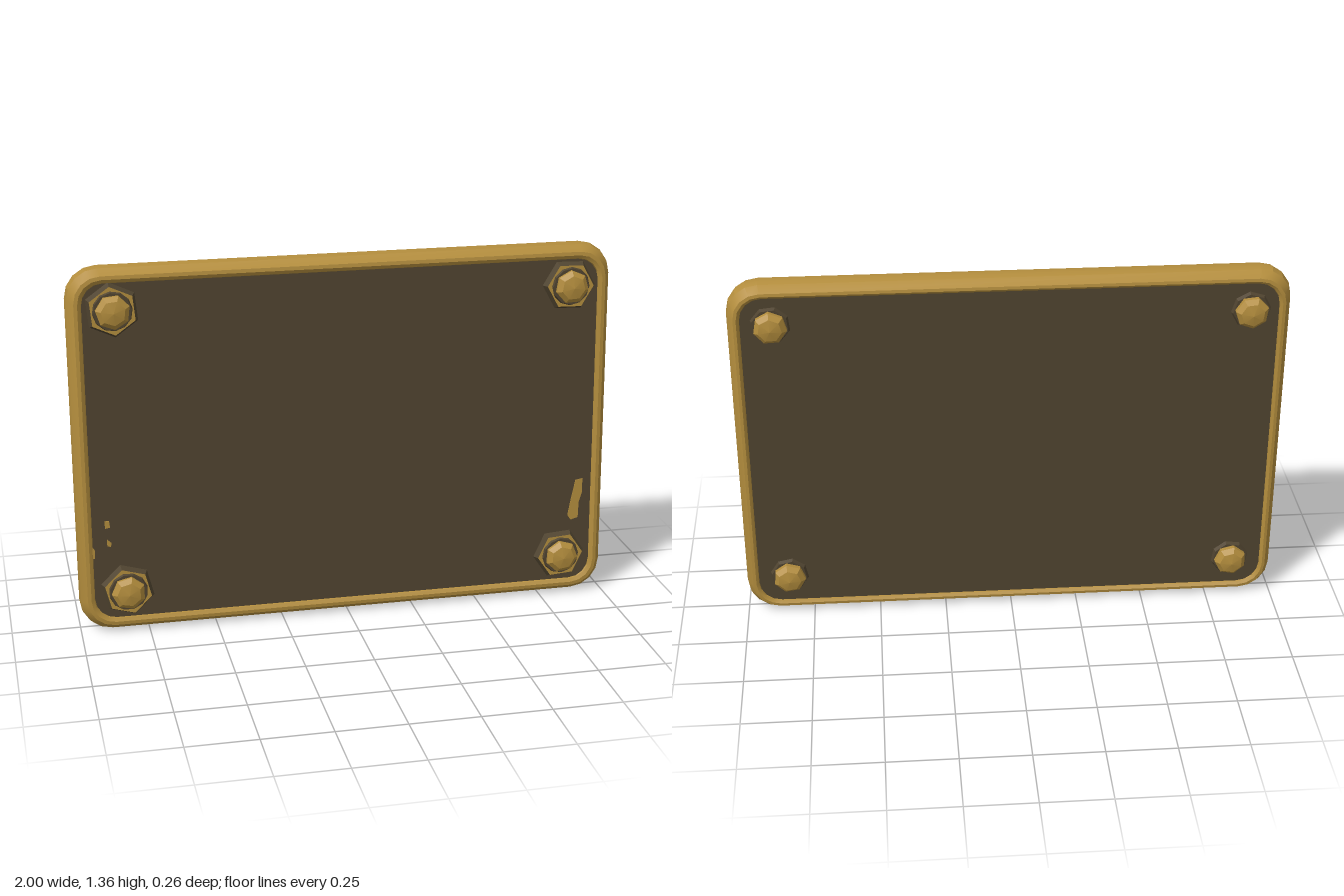
import * as THREE from 'three';
import { toCreasedNormals } from 'three/addons/utils/BufferGeometryUtils.js';

const HALF_W = 1, HALF_H = 0.68, CORNER = 0.115;

// Rounded rectangle, counterclockwise seen from the front, inset from the outer edge
function outline(inset, steps = 4) {
  const r = Math.max(CORNER - inset * 0.7, 0.02);
  const x = HALF_W - inset - r, y = HALF_H - inset - r;
  const points = [];
  [[1, 1], [-1, 1], [-1, -1], [1, -1]].forEach(([sx, sy], q) => {
    for (let i = 0; i <= steps; i++) {
      const a = (q + i / steps) * Math.PI / 2;
      points.push(new THREE.Vector2(sx * x + r * Math.cos(a), sy * y + r * Math.sin(a)));
    }
  });
  return points;
}

// Sweeps an inset / depth section around the rounded rectangle
function frameGeometry(section) {
  const positions = [], index = [];
  const n = outline(0).length;
  section.forEach(([inset, z], i) => {
    outline(inset).forEach((p, j) => {
      positions.push(p.x, p.y, z);
      if (i === section.length - 1) return;
      const a = i * n + j, b = i * n + (j + 1) % n;
      index.push(a, a + n, b, b, a + n, b + n);
    });
  });
  const g = new THREE.BufferGeometry();
  g.setAttribute('position', new THREE.Float32BufferAttribute(positions, 3));
  g.setIndex(index);
  return toCreasedNormals(g, 0.35);
}

export function createModel() {
  const gold = new THREE.MeshStandardMaterial({ color: 0xb38d3d });
  gold.name = 'worn gold';
  const brown = new THREE.MeshStandardMaterial({ color: 0x504430 });
  brown.name = 'dark brown';

  const model = new THREE.Group();
  model.name = 'boltedPlate';
  const plate = new THREE.Group();
  plate.name = 'plate';
  plate.position.set(0, HALF_H, -0.008);
  plate.rotation.x = -0.027; // leans back slightly
  model.add(plate);

  function add(parent, name, geometry, material) {
    const mesh = new THREE.Mesh(geometry, material);
    mesh.name = name;
    parent.add(mesh);
    return mesh;
  }

  // Bevelled rim with a small lip on both faces
  const front = [[0.058, 0.045], [0.052, 0.058], [0.04, 0.065], [0.027, 0.063], [0.005, 0.03], [0, 0.006]];
  const back = [[0, -0.006], [0.005, -0.03], [0.025, -0.063], [0.036, -0.065], [0.045, -0.058], [0.05, -0.045]];
  add(plate, 'frame', frameGeometry([...front, ...back]), gold);

  // Recessed panel
  const panel = new THREE.ExtrudeGeometry(new THREE.Shape(outline(0.04)), { depth: 0.106, bevelEnabled: false });
  panel.translate(0, 0, -0.053);
  add(plate, 'panel', panel, brown);

  // Cylinder along z starting at z0
  function disc(rTop, rBottom, height, sides, z0) {
    const g = new THREE.CylinderGeometry(rTop, rBottom, height, sides);
    g.rotateX(Math.PI / 2);
    return toCreasedNormals(g.translate(0, 0, z0 + height / 2), 0.3);
  }

  // Low faceted head with a blunt point
  function head(radius, height, z0) {
    const profile = [[radius, 0], [radius, height * 0.4], [radius * 0.72, height * 0.78], [0, height]];
    const g = new THREE.LatheGeometry(profile.map(([r, y]) => new THREE.Vector2(r, y)), 7);
    g.rotateX(Math.PI / 2);
    return toCreasedNormals(g.translate(0, 0, z0), 0.3);
  }

  const spots = [[-0.84, 0.53, 0.1], [0.835, 0.53, 0.5], [-0.825, -0.52, 0.25], [0.825, -0.52, 0.6]];
  spots.forEach(([x, y, turn]) => {
    // Front bolt on a wide hexagonal flange
    const bolt = new THREE.Group();
    bolt.name = 'frontBolt';
    bolt.position.set(x, y, 0.053);
    bolt.rotation.z = turn;
    add(bolt, 'flange', disc(0.088, 0.1, 0.024, 6, 0), [brown, gold, brown]);
    add(bolt, 'collar', disc(0.068, 0.072, 0.01, 12, 0.023), brown);
    add(bolt, 'head', head(0.062, 0.042, 0.028), gold);
    plate.add(bolt);

    // Smaller bolt on the back
    const nut = new THREE.Group();
    nut.name = 'backBolt';
    nut.position.set(x + 0.012 * Math.sign(x), y, -0.053);
    nut.rotation.set(0, Math.PI, turn);
    add(nut, 'washer', disc(0.066, 0.072, 0.014, 8, 0), brown);
    add(nut, 'head', head(0.06, 0.046, 0.012), gold);
    plate.add(nut);
  });

  // Worn patches where the gold shows through
  const chips = [
    [[0.885, -0.23], [0.912, -0.225], [0.912, -0.28], [0.9, -0.32], [0.898, -0.38], [0.87, -0.388], [0.857, -0.37], [0.868, -0.31]],
    [[-0.9, -0.25], [-0.883, -0.25], [-0.88, -0.275], [-0.898, -0.278]],
    [[-0.893, -0.32], [-0.877, -0.335], [-0.88, -0.35], [-0.893, -0.345]],
    [[-0.95, -0.34], [-0.938, -0.36], [-0.94, -0.39], [-0.95, -0.39]],
  ];
  chips.forEach((points) => {
    const shape = new THREE.Shape(points.map(([x, y]) => new THREE.Vector2(x, y)));
    const chip = add(plate, 'wornPatch', new THREE.ExtrudeGeometry(shape, { depth: 0.004, bevelEnabled: false }), gold);
    chip.position.z = 0.052;
  });

  return model;
}
